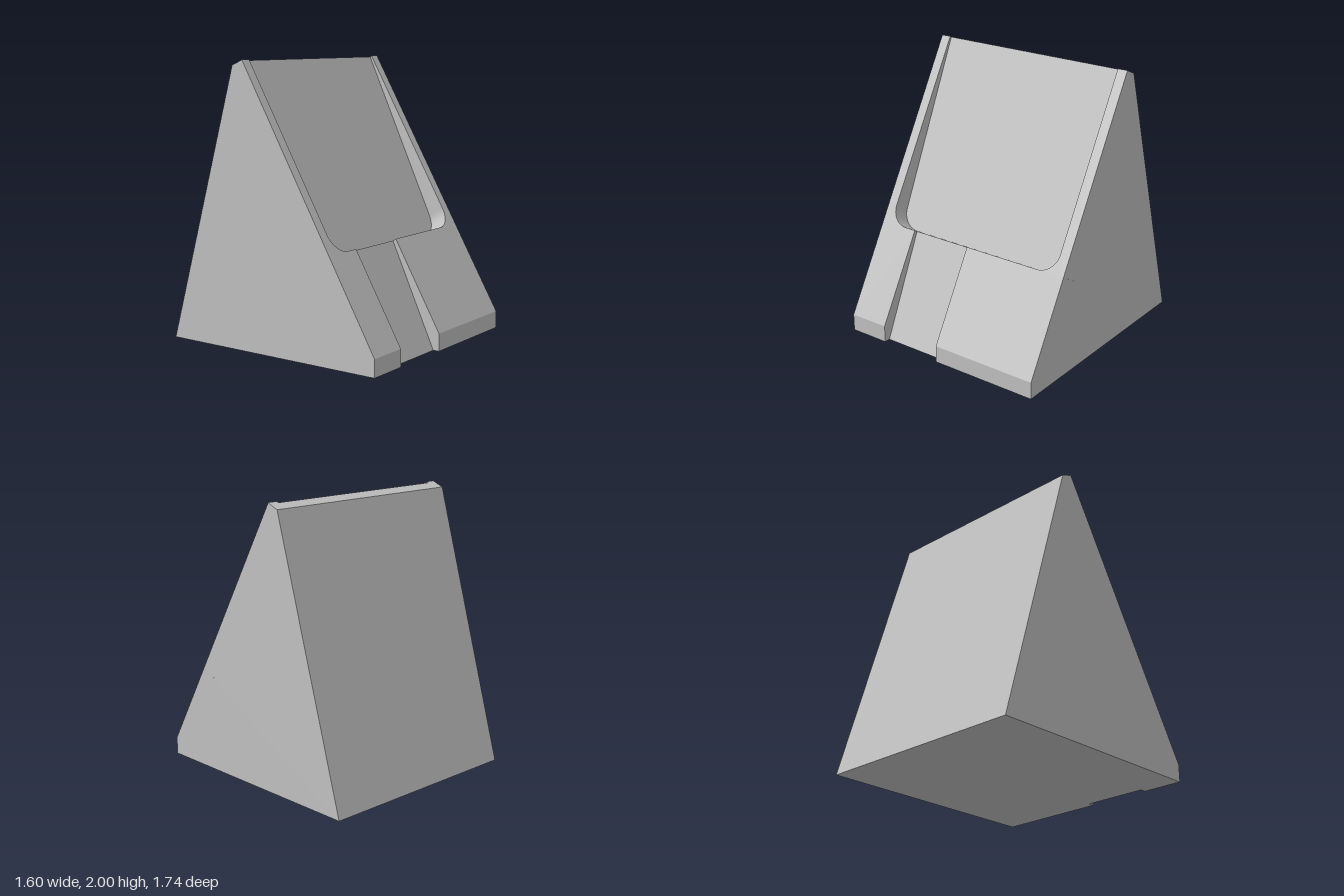
import * as THREE from 'three';
import { toCreasedNormals } from 'three/addons/utils/BufferGeometryUtils.js';

const grey = new THREE.MeshStandardMaterial({ color: 0xc0c0c0 });
grey.name = 'light grey';

function addPart(group, name, geometry) {
  const mesh = new THREE.Mesh(geometry, grey);
  mesh.name = name;
  group.add(mesh);
}

// Side profile of [z, y] points, swept from x0 to x1
function sweep(profile, x0, x1) {
  const shape = new THREE.Shape(profile.map(([z, y]) => new THREE.Vector2(z, y)));
  return new THREE.ExtrudeGeometry(shape, { depth: x1 - x0, bevelEnabled: false })
    .rotateY(-Math.PI / 2)
    .translate(x1, 0, 0);
}

// Rail beside the recess: drawn on the sloping face, then thinned towards the top
function railGeometry(side) {
  const bottom = 0.7217, top = 2.165, outer = 0.8, inner = 0.725, r = 0.14;
  const points = [[outer, bottom], [outer, top], [inner, top]];
  for (let i = 0; i <= 12; i++) {
    const a = (i / 12) * Math.PI / 2;
    points.push([inner - r + r * Math.cos(a), bottom + r - r * Math.sin(a)]);
  }
  const shape = new THREE.Shape(points.map(([x, u]) => new THREE.Vector2(side * x, u)));
  const geometry = new THREE.ExtrudeGeometry(shape, { depth: 1, bevelEnabled: false });
  const pos = geometry.attributes.position;
  const c = Math.cos(Math.PI / 6), s = 0.5;
  for (let i = 0; i < pos.count; i++) {
    const u = pos.getY(i);
    const depth = THREE.MathUtils.mapLinear(u, bottom, top, 0.144, 0.015);
    const inset = (1 - pos.getZ(i)) * depth;
    pos.setXYZ(i, pos.getX(i), 0.125 + u * c - inset * s, 0.87 - u * s - inset * c);
  }
  geometry.computeVertexNormals();
  return toCreasedNormals(geometry, 0.4);
}

export function createModel() {
  const group = new THREE.Group();
  group.name = 'wedge stand';

  // Main wedge; its front slope is the recess floor
  addPart(group, 'wedgeBody', sweep(
    [[-0.87, 0], [0.699, 0], [0.385, 0.678], [-0.2255, 1.9925], [-0.298, 1.962]], -0.8, 0.8));

  // Lower front blocks either side of the slot
  const block = [[0.699, 0], [0.87, 0], [0.87, 0.125], [0.509, 0.75], [0.385, 0.678]];
  addPart(group, 'rightLowerBlock', sweep(block, -0.8, -0.495));
  addPart(group, 'leftLowerBlock', sweep(block, -0.015, 0.8));

  // Shallow slot floor between the blocks
  addPart(group, 'slotFloor', sweep(
    [[0.699, 0], [0.825, 0], [0.485, 0.735], [0.385, 0.678]], -0.495, -0.015));

  // Rails with rounded lower corners
  addPart(group, 'leftRail', railGeometry(1));
  addPart(group, 'rightRail', railGeometry(-1));

  return group;
}
